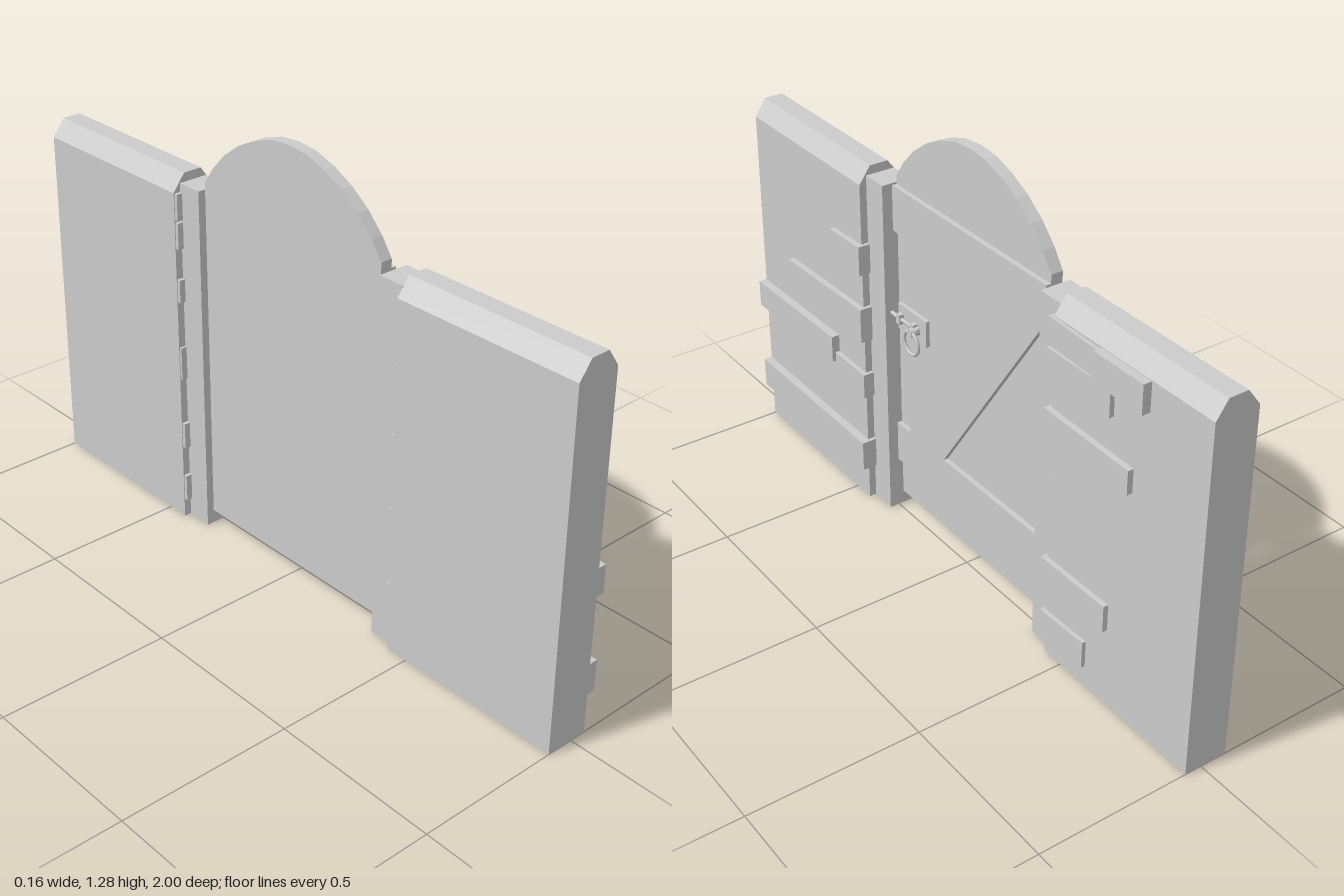
import * as THREE from 'three';

const material = new THREE.MeshStandardMaterial({ color: 0xcccccc, flatShading: true });
const smooth = new THREE.MeshStandardMaterial({ color: 0xcccccc });

function add(parent, name, geometry, mat = material) {
  const mesh = new THREE.Mesh(geometry, mat);
  mesh.name = name;
  parent.add(mesh);
  return mesh;
}

// Box given by its limits on each axis
function box(parent, name, [x0, x1], [y0, y1], [z0, z1]) {
  const mesh = add(parent, name, new THREE.BoxGeometry(x1 - x0, y1 - y0, Math.abs(z1 - z0)));
  mesh.position.set((x0 + x1) / 2, (y0 + y1) / 2, (z0 + z1) / 2);
  return mesh;
}

// Outline of [z, y] points, extruded along x from x0 to x1
function slab(parent, name, points, x0, x1) {
  const shape = new THREE.Shape(points.map(([z, y]) => new THREE.Vector2(-z, y)));
  const geometry = new THREE.ExtrudeGeometry(shape, { depth: x1 - x0, bevelEnabled: false });
  geometry.rotateY(Math.PI / 2).translate(x0, 0, 0);
  return add(parent, name, geometry);
}

// Wall with a chamfered top, its stones and the gate post beside it
function buildSide(name, side, stones) {
  const group = new THREE.Group();
  group.name = name;
  const profile = new THREE.Shape([[-0.08, 0], [0.05, 0], [0.05, 1.03], [0.015, 1.08], [-0.042, 1.08], [-0.08, 1.03]]
    .map(([x, y]) => new THREE.Vector2(x, y)));
  const wall = new THREE.ExtrudeGeometry(profile, { depth: 0.567, bevelEnabled: false });
  wall.translate(0, 0, side > 0 ? 0.433 : -1);
  add(group, 'wall', wall);
  box(group, 'gatePost', [-0.06, 0.03], [0, 1.055], [side * 0.35, side * 0.43]);

  for (const [z0, z1, y0, y1, x1, tilt = 0] of stones) {
    const a = side * z0, b = side * z1;
    slab(group, 'stone', [[a, y0], [b, y0 + tilt], [b, y1 + tilt], [a, y1]], 0.045, x1);
    // stones that reach the opening show through the end of the wall
    if (z0 < 0.43) box(group, 'stoneEnd', [-0.078, 0.045], [y0, y1], [a, side * 0.44]);
  }
  return group;
}

function buildDoor() {
  const door = new THREE.Group();
  door.name = 'door';
  // arched door leaf
  const arch = [[0.34, 1.08], [0.305, 1.13], [0.255, 1.182], [0.195, 1.226], [0.13, 1.258], [0.065, 1.279]];
  const outline = [[-0.34, 0.05], [0.34, 0.05], ...arch, [0, 1.285],
    ...arch.map(([z, y]) => [-z, y]).reverse()];
  slab(door, 'doorLeaf', outline, -0.045, -0.01);

  // Z-shaped bracing
  box(door, 'lowerBatten', [-0.012, 0.005], [0.17, 0.297], [-0.34, 0.34]);
  box(door, 'upperBatten', [-0.012, 0.005], [0.92, 1.055], [-0.34, 0.34]);
  slab(door, 'diagonalBrace', [[0.28, 0.297], [0.105, 0.297], [-0.32, 0.92], [-0.148, 0.92]], -0.012, 0.005);
  return door;
}

function buildLock() {
  const lock = new THREE.Group();
  lock.name = 'lock';
  box(lock, 'lockPlate', [-0.012, 0.002], [0.62, 0.7], [0.19, 0.327]);
  // sliding bolt and its keepers
  const bolt = add(lock, 'bolt', new THREE.CylinderGeometry(0.006, 0.006, 0.13, 8), smooth);
  bolt.rotation.x = Math.PI / 2;
  bolt.position.set(0.008, 0.66, 0.285);
  for (const z of [0.24, 0.308]) {
    box(lock, 'boltKeeper', [0, 0.017], [0.645, 0.675], [z - 0.008, z + 0.008]);
  }
  // handle boss and pull ring
  const boss = add(lock, 'handleBoss', new THREE.CylinderGeometry(0.012, 0.014, 0.03, 10), smooth);
  boss.rotation.z = -Math.PI / 2;
  boss.position.set(0.015, 0.655, 0.232);
  const ring = add(lock, 'pullRing', new THREE.TorusGeometry(0.035, 0.005, 8, 24), smooth);
  ring.rotation.y = Math.PI / 2;
  ring.position.set(0.023, 0.622, 0.232);
  return lock;
}

export function createModel() {
  const model = new THREE.Group();
  model.name = 'walledGate';

  // stones: inner z, outer z, bottom y, top y, front x, rise at the outer end
  model.add(buildSide('leftWall', 1, [
    [0.422, 0.575, 0.76, 0.85, 0.067, -0.005],
    [0.422, 0.82, 0.545, 0.652, 0.068, -0.01],
    [0.575, 1, 0.41, 0.493, 0.075, -0.004],
    [0.422, 0.66, 0.358, 0.435, 0.064, 0.006],
    [0.422, 1, 0.112, 0.205, 0.075, 0.004],
  ]));
  model.add(buildSide('rightWall', -1, [
    [0.422, 0.61, 0.95, 1.028, 0.06, -0.006],
    [0.61, 0.79, 0.945, 1.028, 0.075],
    [0.422, 0.665, 0.865, 0.943, 0.064, 0.003],
    [0.422, 0.745, 0.703, 0.772, 0.067, -0.007],
    [0.422, 0.68, 0.235, 0.315, 0.065, 0.003],
    [0.422, 0.6, 0.058, 0.14, 0.062, 0.006],
  ]));
  box(model.getObjectByName('rightWall'), 'stoneEnd', [-0.078, 0.045], [0.46, 0.56], [-0.425, -0.44]);

  model.add(buildDoor(), buildLock());
  return model;
}
